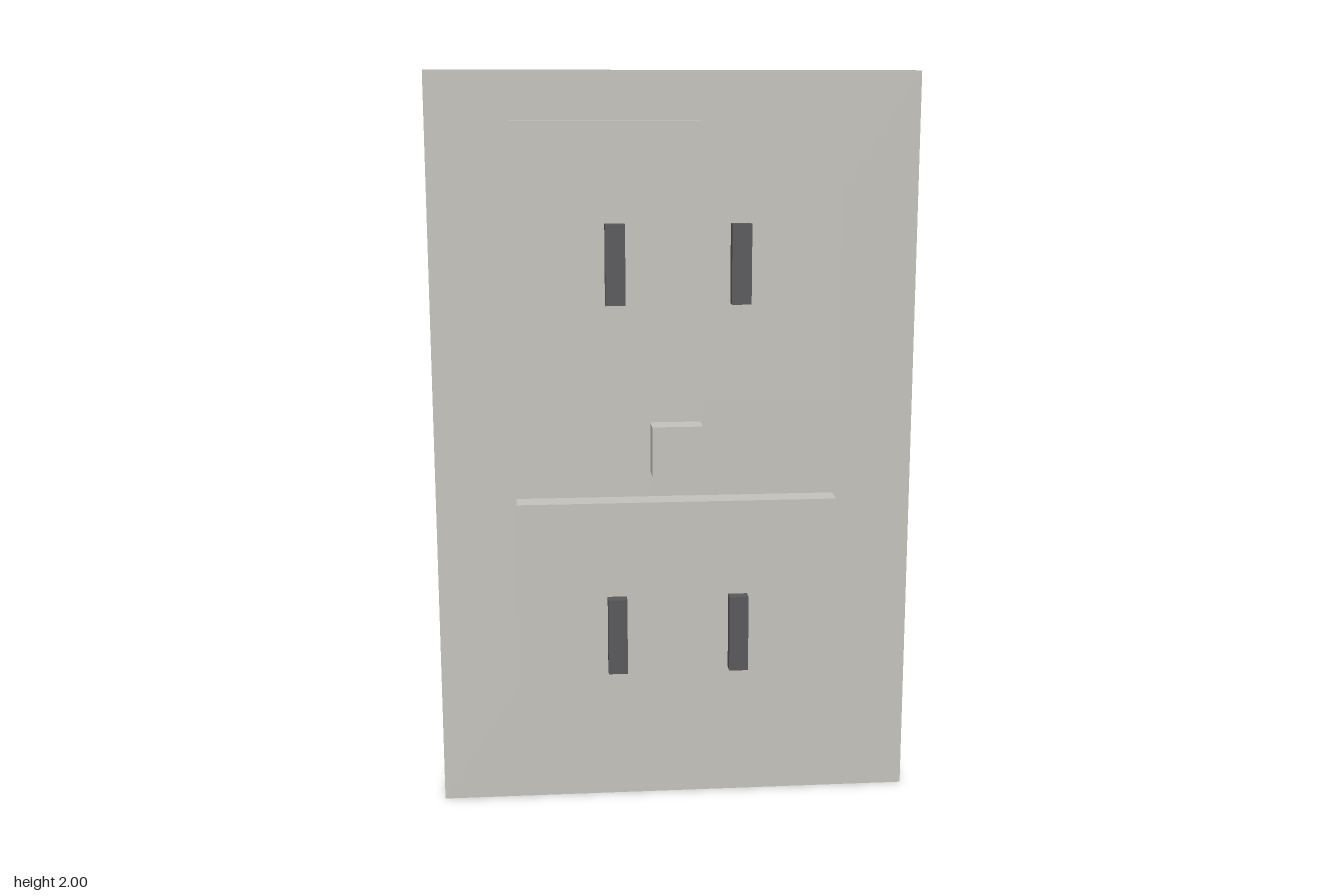
import * as THREE from 'three';

export function createModel() {
  const group = new THREE.Group();
  const plastic = new THREE.MeshStandardMaterial({ color: 0xc4c2bc });
  plastic.name = 'warm grey plastic';
  const dark = new THREE.MeshStandardMaterial({ color: 0x59595b });
  dark.name = 'dark grey';

  // Box with its back face at z = back
  const block = (name, material, w, h, d, x, y, back) => {
    const mesh = new THREE.Mesh(new THREE.BoxGeometry(w, h, d), material);
    mesh.name = name;
    mesh.position.set(x, y, back + d / 2);
    group.add(mesh);
  };

  const plateFront = 0.016;
  const panelFront = 0.086;

  // Wall plate
  block('wallPlate', plastic, 1.3, 2, plateFront + 0.12, 0, 1, -0.12);

  // Centre screw block
  block('centreScrew', plastic, 0.136, 0.136, panelFront - plateFront, 0, 1.003, plateFront);

  // Two socket panels, each with a pair of prong slots
  for (const [label, y] of [['lower', 0.498], ['upper', 1.506]]) {
    block(label + 'SocketPanel', plastic, 0.866, 0.734, panelFront - plateFront, 0, y, plateFront);
    for (const [side, x] of [['Left', 0.165], ['Right', -0.165]]) {
      block(label + side + 'Slot', dark, 0.052, 0.21, 0.12 - panelFront, x, y, panelFront);
    }
  }
  return group;
}
